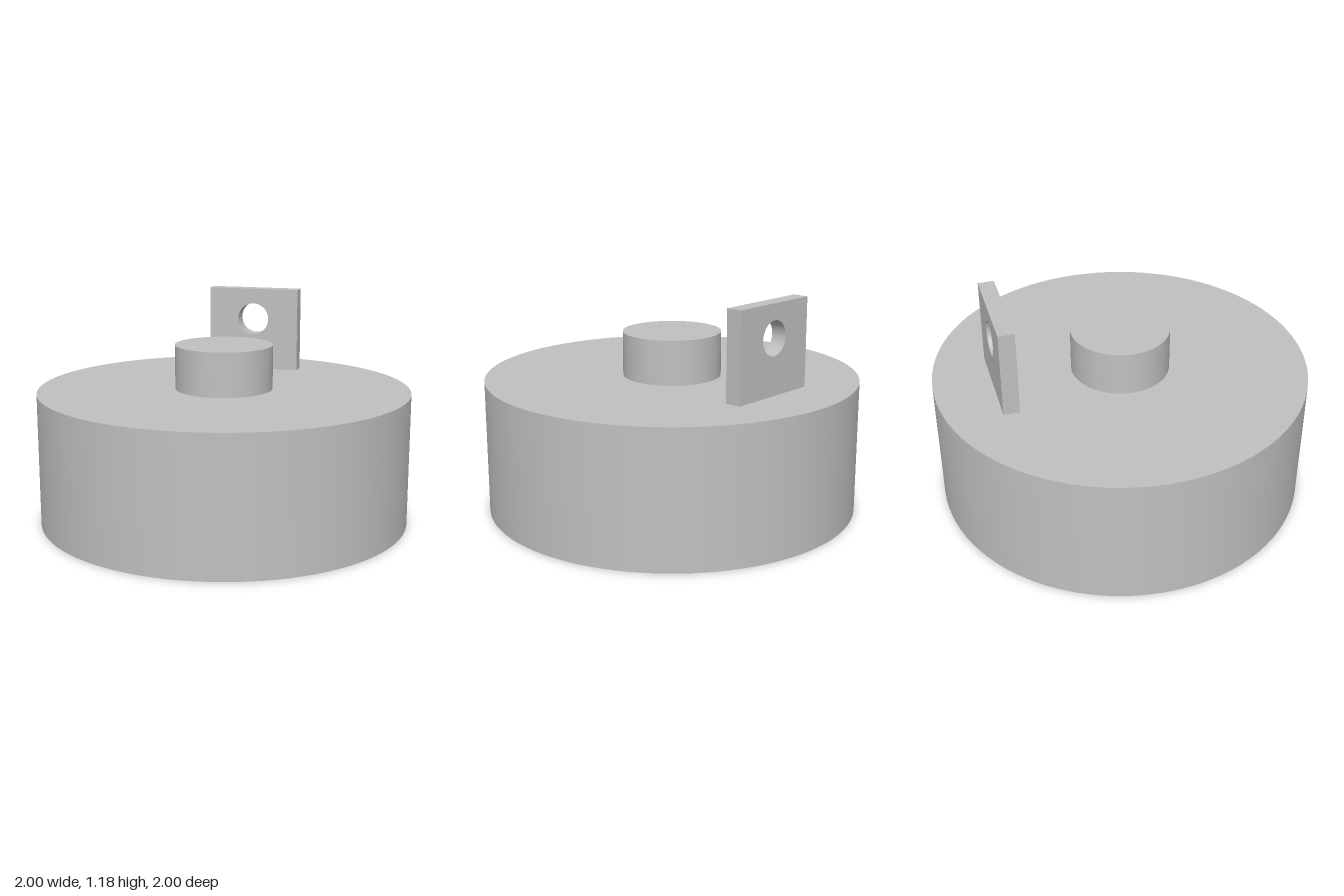
import * as THREE from 'three';
import { toCreasedNormals } from 'three/addons/utils/BufferGeometryUtils.js';

export function createModel() {
  const group = new THREE.Group();
  const grey = new THREE.MeshStandardMaterial({ color: 0xc0c0c0 });
  grey.name = 'grey';

  const add = (name, geometry, x, y, z) => {
    const mesh = new THREE.Mesh(geometry, grey);
    mesh.name = name;
    mesh.position.set(x, y, z);
    group.add(mesh);
  };

  const height = 0.715, wall = 0.067;

  // Hollow cap, open underneath: ceiling, inner wall, rim, outer wall, top
  const profile = [
    [0, height - 0.07], [1 - wall, height - 0.07], [1 - wall, 0],
    [1, 0], [1, height], [0, height],
  ].map(([r, y]) => new THREE.Vector2(r, y));
  add('cap', toCreasedNormals(new THREE.LatheGeometry(profile, 96), 0.6), 0, 0, 0);

  // Solid round knob in the middle of the top
  const knobHeight = 0.238;
  add('knob', new THREE.CylinderGeometry(0.263, 0.263, knobHeight, 64), 0, height + knobHeight / 2, 0);

  // Upright lug near the back edge, pierced by a round hole
  const lugHeight = 0.47, lugHalf = 0.263;
  const shape = new THREE.Shape([
    new THREE.Vector2(-lugHalf, 0), new THREE.Vector2(lugHalf, 0),
    new THREE.Vector2(lugHalf, lugHeight), new THREE.Vector2(-lugHalf, lugHeight),
  ]);
  const hole = new THREE.Path();
  hole.absarc(0, 0.295, 0.09, 0, Math.PI * 2, true);
  shape.holes.push(hole);
  const lug = new THREE.ExtrudeGeometry(shape, { depth: 0.085, bevelEnabled: false, curveSegments: 40 });
  add('lug', toCreasedNormals(lug, 0.6), 0, height, -0.688);

  return group;
}
